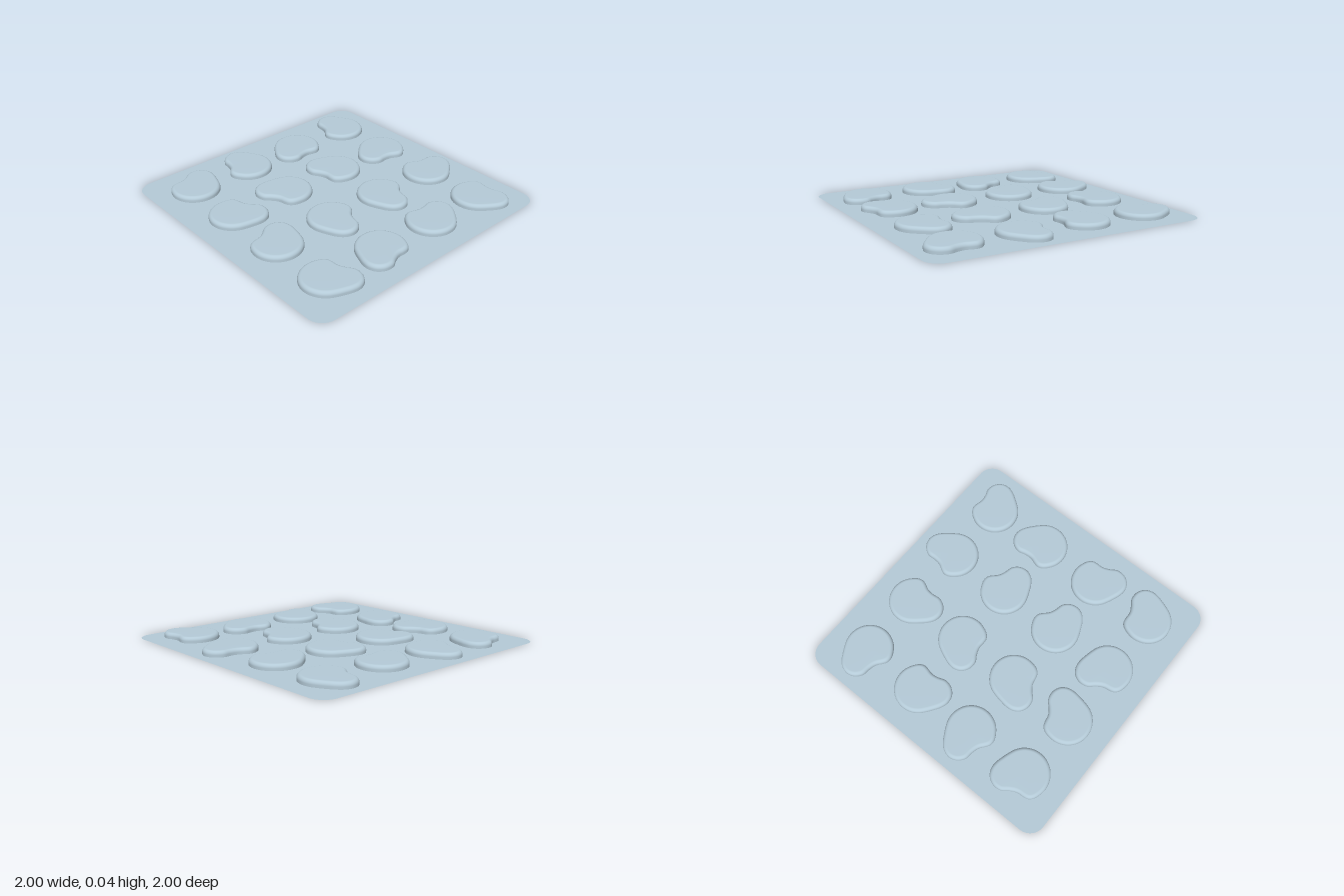
import * as THREE from 'three';

const SEGMENTS = 112;   // points around one pebble
const HEIGHT = 0.042;
const ROUND = 0.026;    // radius of the rounded top edge
const PITCH = 0.465;    // spacing of the pebble grid

// Pebble outline as [degrees, radius]: a disc with one lobe and a dent beside it
const OUTLINE = [
  [0, 0.233], [15, 0.223], [30, 0.195], [43, 0.155], [56, 0.138], [68, 0.137],
  [80, 0.15], [92, 0.167], [103, 0.173], [117, 0.172], [140, 0.172], [165, 0.172],
  [190, 0.172], [215, 0.172], [240, 0.172], [265, 0.172], [285, 0.172], [301, 0.173],
  [318, 0.183], [333, 0.204], [346, 0.224],
];

// Direction of each pebble's lobe, row by row from the back
const TURNS = [
  [180, -78, 98, 25],
  [-65, -143, -7, 109],
  [180, -130, -7, -52],
  [133, 50, 138, 40],
];

function pebbleOutline() {
  const points = OUTLINE.map(([deg, r]) => {
    const a = THREE.MathUtils.degToRad(deg);
    return new THREE.Vector3(r * Math.cos(a), r * Math.sin(a), 0);
  });
  const curve = new THREE.CatmullRomCurve3(points, true, 'centripetal');
  return curve.getSpacedPoints(SEGMENTS).slice(0, SEGMENTS).map((p) => new THREE.Vector2(p.x, p.y));
}

// Hollow raised shell: the outline is lifted and inset ring by ring, then closed on top
function pebbleGeometry(outline) {
  const profile = [[0, 0], [0, HEIGHT - ROUND]];
  for (let i = 1; i <= 7; i++) {
    const a = (i / 7) * Math.PI / 2;
    profile.push([ROUND * (1 - Math.cos(a)), HEIGHT - ROUND + ROUND * Math.sin(a)]);
  }
  const n = outline.length;
  const positions = [];
  const index = [];
  profile.forEach(([inset, y]) => outline.forEach((p, j) => {
    const t = outline[(j + 1) % n].clone().sub(outline[(j + n - 1) % n]).normalize();
    positions.push(p.x - t.y * inset, y, -(p.y + t.x * inset));
  }));
  const centre = positions.length / 3;
  positions.push(0, HEIGHT, 0);
  for (let j = 0; j < n; j++) {
    const k = (j + 1) % n;
    for (let i = 0; i < profile.length - 1; i++) {
      const low = i * n;
      const up = low + n;
      index.push(low + j, low + k, up + k, low + j, up + k, up + j);
    }
    const rim = (profile.length - 1) * n;
    index.push(rim + j, rim + k, centre);
  }
  const geometry = new THREE.BufferGeometry();
  geometry.setAttribute('position', new THREE.Float32BufferAttribute(positions, 3));
  geometry.setIndex(index);
  geometry.computeVertexNormals();
  return geometry;
}

function roundedSquare(h, r) {
  const s = new THREE.Shape();
  s.absarc(h - r, h - r, r, 0, Math.PI / 2);
  s.absarc(r - h, h - r, r, Math.PI / 2, Math.PI);
  s.absarc(r - h, r - h, r, Math.PI, Math.PI * 1.5);
  s.absarc(h - r, r - h, r, Math.PI * 1.5, Math.PI * 2);
  s.closePath();
  return s;
}

export function createModel() {
  const model = new THREE.Group();
  model.name = 'pebbleMat';
  const material = new THREE.MeshStandardMaterial({ color: 0xb4cad7, side: THREE.DoubleSide });

  const outline = pebbleOutline();
  const geometry = pebbleGeometry(outline);
  const sheetShape = roundedSquare(1, 0.11);
  const origin = new THREE.Vector2();

  // Pebbles, each with a matching opening in the sheet
  TURNS.forEach((row, r) => row.forEach((deg, c) => {
    const angle = THREE.MathUtils.degToRad(deg);
    const x = (c - 1.5) * PITCH;
    const z = (r - 1.5) * PITCH - 0.005;
    const pebble = new THREE.Mesh(geometry, material);
    pebble.name = `pebble${r + 1}_${c + 1}`;
    pebble.position.set(x, 0, z);
    pebble.rotation.y = angle;
    model.add(pebble);
    const offset = new THREE.Vector2(x, -z);
    sheetShape.holes.push(new THREE.Path(
      outline.map((p) => p.clone().rotateAround(origin, angle).add(offset)),
    ));
  }));

  // Thin sheet with rounded corners
  const sheet = new THREE.Mesh(new THREE.ShapeGeometry(sheetShape, 12).rotateX(-Math.PI / 2), material);
  sheet.name = 'sheet';
  model.add(sheet);
  return model;
}
